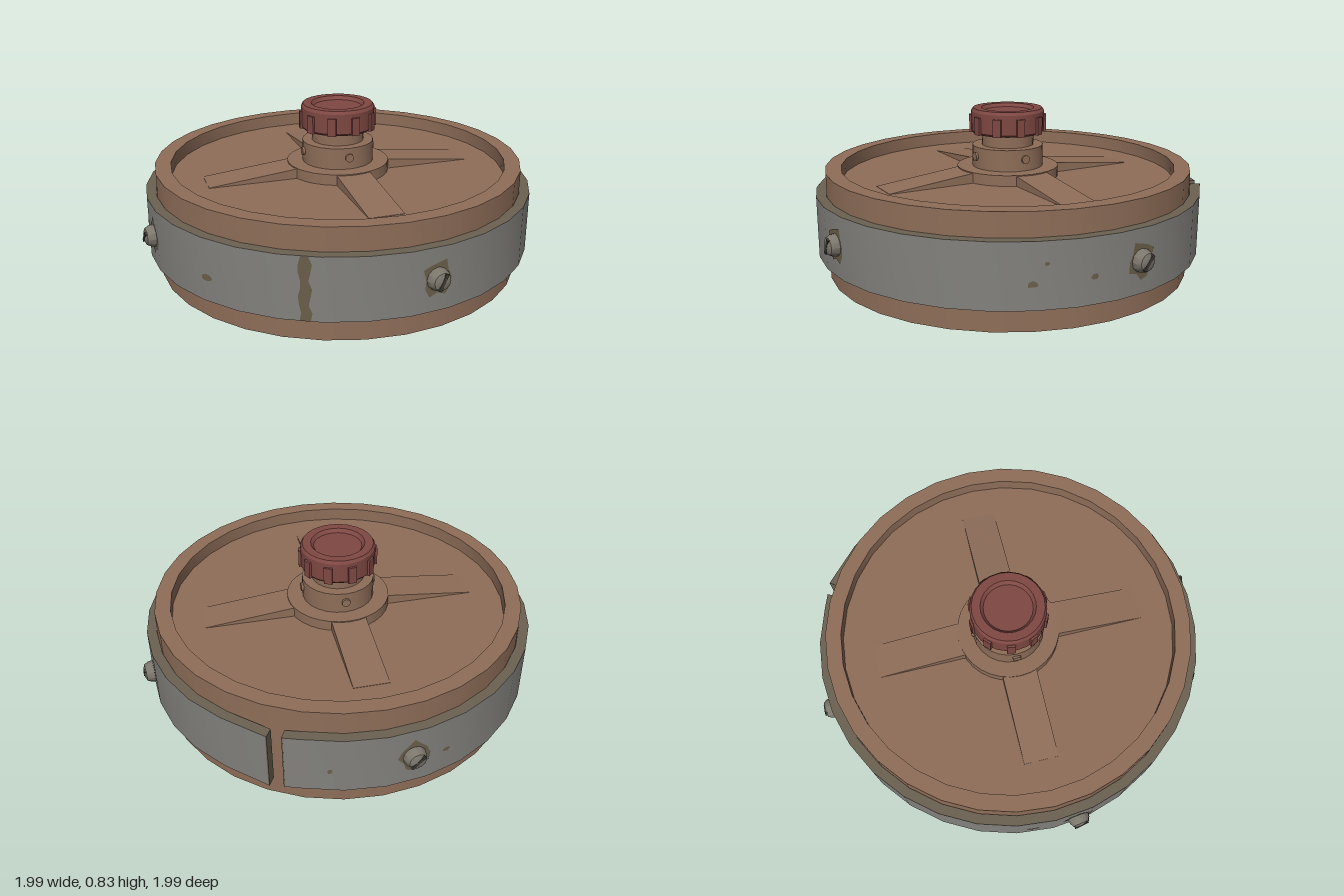
import * as THREE from 'three';
import { toCreasedNormals } from 'three/addons/utils/BufferGeometryUtils.js';

const rad = THREE.MathUtils.degToRad;
const mat = (name, color, side = THREE.FrontSide) => {
  const m = new THREE.MeshStandardMaterial({ color, side });
  m.name = name;
  return m;
};

export function createModel() {
  const copper = mat('copperBrown', 0x8f6e59);
  const steel = mat('bandGrey', 0x82817d);
  const edge = mat('tarnishedEdge', 0x6b6251);
  const rust = mat('rustPatch', 0x6a5e49, THREE.DoubleSide);
  const screwMat = mat('screwGrey', 0x7c776d);
  const slotMat = mat('screwSlot', 0x3f3c37);
  const red = mat('knobRed', 0x7f4843);

  const model = new THREE.Group();
  const add = (name, geometry, material, parent = model) => {
    const mesh = new THREE.Mesh(geometry, material);
    mesh.name = name;
    parent.add(mesh);
    return mesh;
  };
  const lathe = (pts, segs) => toCreasedNormals(
    new THREE.LatheGeometry(pts.map(([x, y]) => new THREE.Vector2(x, y)), segs), 0.5);

  // Drum body with recessed faces and raised hubs on both sides
  add('drumBody', lathe([
    [0, 0.015], [0.265, 0.015], [0.265, 0.07], [0.865, 0.07], [0.865, 0], [0.945, 0],
    [0.945, 0.545], [0.865, 0.545], [0.865, 0.475], [0.265, 0.475], [0.265, 0.53], [0, 0.53],
  ], 32), copper);

  // Tapered spokes, four on each face
  const wedge = new THREE.ExtrudeGeometry(new THREE.Shape([
    new THREE.Vector2(0.24, -0.01), new THREE.Vector2(0.7, -0.01),
    new THREE.Vector2(0.7, 0.002), new THREE.Vector2(0.24, 0.052),
  ]), { depth: 0.177, bevelEnabled: false });
  wedge.translate(0, 0, -0.0885);
  for (const top of [true, false]) {
    const spokes = new THREE.Group();
    spokes.name = top ? 'topSpokes' : 'bottomSpokes';
    spokes.position.y = top ? 0.475 : 0.07;
    if (!top) spokes.rotation.x = Math.PI;
    for (let i = 0; i < 4; i++) {
      add('spoke', wedge, copper, spokes).rotation.y = rad(45 + 90 * i);
    }
    model.add(spokes);
  }

  // Stem: collar with four pins, then a thinner neck
  add('stem', lathe([[0.185, 0.52], [0.185, 0.64], [0.135, 0.64], [0.135, 0.72]], 24), copper);
  for (let i = 0; i < 4; i++) {
    const pin = add('collarPin', new THREE.CylinderGeometry(0.022, 0.022, 0.02, 10), copper);
    const a = rad(45 + 90 * i);
    pin.rotation.set(Math.PI / 2, 0, -a);
    pin.position.set(Math.sin(a) * 0.185, 0.59, Math.cos(a) * 0.185);
  }

  // Knob with a dished top and grip ridges
  add('knob', lathe([
    [0, 0.706], [0.182, 0.706], [0.19, 0.716], [0.19, 0.818], [0.18, 0.833],
    [0.137, 0.833], [0.122, 0.815], [0, 0.815],
  ], 24), red);
  for (let i = 0; i < 10; i++) {
    const a = rad(18 + 36 * i);
    const ridge = add('knobRidge', new THREE.BoxGeometry(0.042, 0.09, 0.025), red);
    ridge.position.set(Math.sin(a) * 0.187, 0.752, Math.cos(a) * 0.187);
    ridge.rotation.y = a;
  }

  // Split clamp band, its ends slightly lifted at the gap
  const R = 0.997, y0 = 0.12, y1 = 0.43, step = 11.25;
  const planPoint = (deg, r) => new THREE.Vector2(Math.sin(rad(deg)) * r, -Math.cos(rad(deg)) * r);
  const ends = [[-162, 1.004, 0.955], [194, 1.016, 0.964]];
  const outer = [planPoint(ends[0][0], ends[0][1])];
  const inner = [planPoint(ends[0][0], ends[0][2])];
  for (let k = -14; k <= 16; k++) {
    outer.push(planPoint(k * step, R));
    inner.push(planPoint(k * step, 0.947));
  }
  outer.push(planPoint(ends[1][0], ends[1][1]));
  inner.push(planPoint(ends[1][0], ends[1][2]));
  const bandGeo = new THREE.ExtrudeGeometry(new THREE.Shape([...outer, ...inner.reverse()]),
    { depth: y1 - y0, bevelEnabled: false });
  bandGeo.rotateX(-Math.PI / 2).translate(0, y0, 0);
  add('clampBand', toCreasedNormals(bandGeo, 0.5), [edge, steel]);

  // Tarnished faces on the band ends
  for (const [deg, ro, ri] of ends) {
    const a = rad(deg), r = (ro + ri) / 2;
    const plate = add('bandEnd', new THREE.BoxGeometry(0.006, y1 - y0, ro - ri), edge);
    plate.position.set(Math.sin(a) * r, (y0 + y1) / 2, Math.cos(a) * r);
    plate.rotation.y = a;
  }

  // Rust patches: ragged outlines laid on the band's facets
  const patch = (deg, y, w, h, seed, n = 12) => {
    const pts = [];
    for (let i = 0; i < n; i++) {
      const a = (i / n) * Math.PI * 2;
      const k = 1 + 0.13 * Math.sin(i * 2.3 + seed) + 0.08 * Math.sin(i * 4.1 + seed * 2);
      pts.push(new THREE.Vector2(Math.cos(a) * w * k, Math.sin(a) * h * k));
    }
    layPatch(deg, y, pts);
  };
  const layPatch = (deg, y, pts) => {
    const geo = new THREE.ShapeGeometry(new THREE.Shape(pts));
    const p = geo.attributes.position;
    for (let i = 0; i < p.count; i++) {
      const t = deg + THREE.MathUtils.radToDeg(p.getX(i) / R);
      const off = t - (Math.floor(t / step) + 0.5) * step;
      const r = R * Math.cos(rad(step / 2)) / Math.cos(rad(off)) + 0.003;
      p.setXYZ(i, Math.sin(rad(t)) * r, y + p.getY(i), Math.cos(rad(t)) * r);
    }
    geo.computeVertexNormals();
    add('rustPatch', geo, rust);
  };
  patch(-51.5, 0.25, 0.035, 0.024, 1, 8);
  patch(-9.6, 0.24, 0.03, 0.018, 2, 8);
  patch(112, 0.24, 0.024, 0.015, 3, 8);
  patch(115.5, 0.33, 0.012, 0.01, 4, 6);
  patch(-150, 0.24, 0.014, 0.014, 5, 6);
  patch(128, 0.25, 0.02, 0.014, 6, 6);
  patch(-118, 0.25, 0.02, 0.014, 7, 6);

  // Full-height rust streak
  const streak = [];
  for (let i = 0; i <= 8; i++) streak.push(new THREE.Vector2(0.025 + 0.009 * Math.sin(i * 2.1), -0.154 + i * 0.0385));
  for (let i = 8; i >= 0; i--) streak.push(new THREE.Vector2(-0.024 + 0.007 * Math.sin(i * 1.7), -0.154 + i * 0.0385));
  layPatch(18.2, 0.275, streak);

  // Four slotted screws, each in a rust stain
  const head = lathe([[0.056, 0], [0.053, 0.025], [0.042, 0.046], [0.022, 0.054], [0, 0.055]], 12);
  head.rotateX(Math.PI / 2);
  [-37.7, 52.3, 142.3, 232.3].forEach((deg, i) => {
    const a = rad(deg);
    patch(deg, 0.28, 0.07, 0.085, i * 1.9 + 1);
    const screw = new THREE.Group();
    screw.name = 'screw';
    add('screwHead', head, screwMat, screw);
    const slot = add('screwSlot', new THREE.BoxGeometry(0.084, 0.016, 0.05), slotMat, screw);
    slot.position.z = 0.031;
    slot.rotation.z = rad([45, 65, 50, 40][i]);
    screw.position.set(Math.sin(a) * 0.99, 0.28, Math.cos(a) * 0.99);
    screw.rotation.y = a;
    model.add(screw);
  });

  return model;
}
